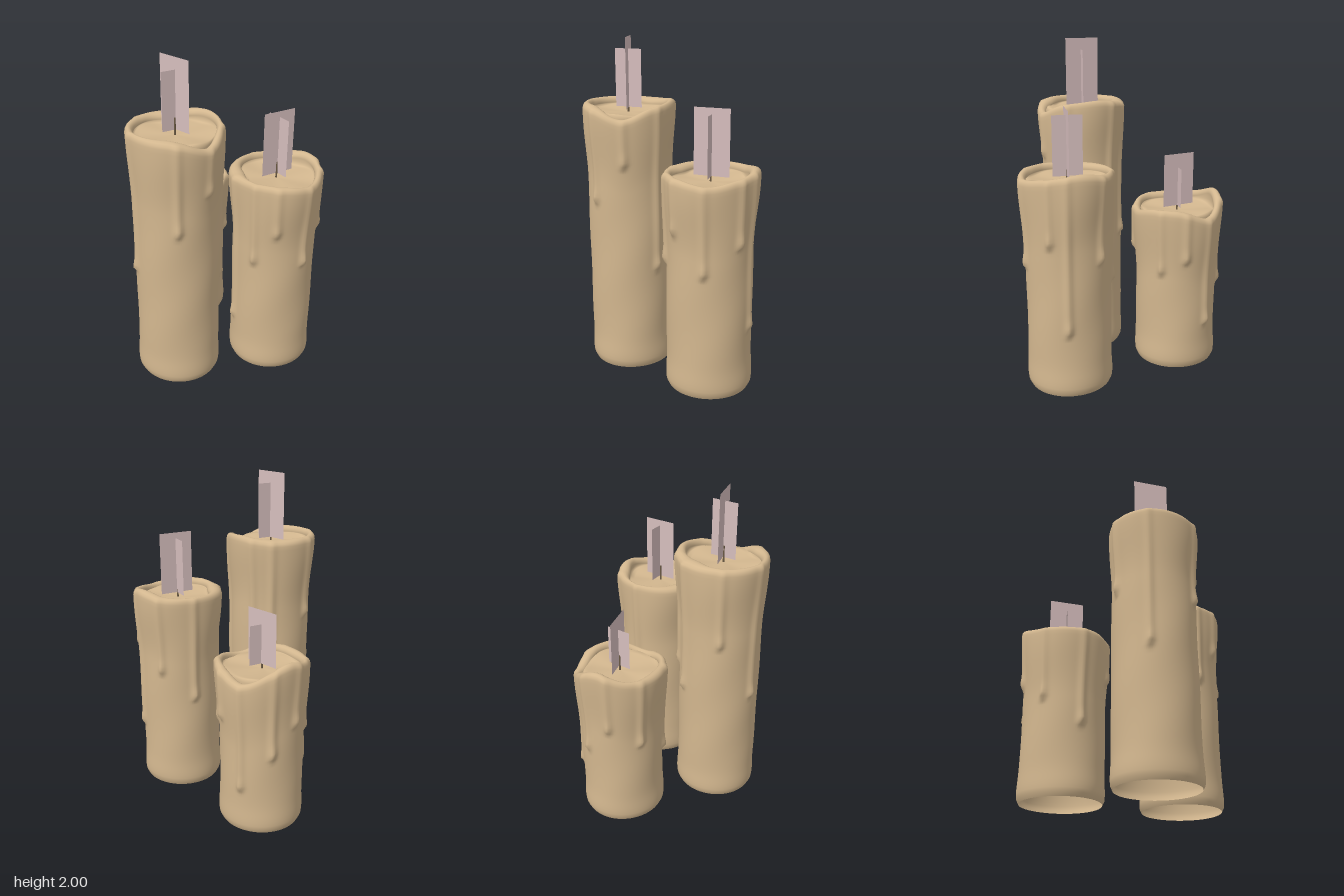
import * as THREE from 'three';

function material(name, color, side = THREE.FrontSide) {
  const m = new THREE.MeshStandardMaterial({ color, side });
  m.name = name;
  return m;
}
const wax = material('wax', 0xd3b78f, THREE.DoubleSide);
const flamePink = material('flame pink', 0xd6bebd, THREE.DoubleSide);
const wickBrown = material('wick brown', 0x6b5a44);

const SIDES = 128;
const BODY = 0.25;
const DRIP = 0.022;

// rimBumps and poolBumps: [degrees from +x towards +z, amount]
// drips: [degrees, y of the lower end]; cards: [width, top] of the crossed flame cards
const candles = [
  {
    name: 'tallCandle', x: -0.29, z: 0.19, rim: 1.622,
    rimBumps: [[75, -0.065], [345, 0.018]],
    poolBumps: [[120, -0.035], [285, -0.06]],
    drips: [[27, 0.62], [73, 1.26], [116, 1.03], [188, 0.72], [240, 1.1], [298, 0.75], [325, 0.87]],
    cards: [[0.165, 1.93], [0.21, 2]], slant: 0.06,
  },
  {
    name: 'frontCandle', x: 0.285, z: 0.365, rim: 1.293,
    rimBumps: [[350, 0.03], [75, -0.025]],
    poolBumps: [[195, -0.04], [335, -0.025]],
    drips: [[8, 0.37], [31, 0.89], [80, 0.73], [122, 0.95], [152, 0.75], [190, 0.28], [272, 0.6], [320, 0.78]],
    cards: [[0.21, 1.645], [0.175, 1.61]], slant: 0.008,
  },
  {
    name: 'backCandle', x: 0.075, z: -0.35, rim: 1.025,
    rimBumps: [[262, 0.055], [328, -0.065], [88, -0.04]],
    poolBumps: [[170, -0.015], [335, -0.02]],
    drips: [[2, 0.68], [36, 0.6], [105, 0.7], [152, 0.4], [205, 0.55], [250, 0.66], [285, 0.48], [328, 0.26]],
    cards: [[0.155, 1.235], [0.205, 1.32]], slant: 0.064,
  },
];

// Soft bell around a direction, in radians
function bell(angle, degrees, width) {
  const d = angle - THREE.MathUtils.degToRad(degrees);
  return Math.exp(-((Math.atan2(Math.sin(d), Math.cos(d)) / width) ** 2));
}

function bumps(list, angle) {
  return list.reduce((sum, [deg, amount]) => sum + amount * bell(angle, deg, 0.5), 0);
}

// Wax runs: narrow ridges hanging from the rim, each with a rounded bead at its end
function dripBulge(drips, angle, y) {
  return drips.reduce((sum, [deg, end]) => {
    const bead = 0.45 * Math.exp(-(((y - end - 0.045) / 0.045) ** 2));
    const along = THREE.MathUtils.smoothstep(y, end, end + 0.035) * (0.75 + bead);
    return sum + DRIP * along * bell(angle, deg, 0.085);
  }, 0);
}

// Radius and height of the outer wall at fraction t of its height
function wallPoint(c, a, t, edge) {
  const y = t * edge;
  const flare = THREE.MathUtils.smoothstep(y, edge - 0.4, edge);
  const rimRadius = 0.274 + 0.005 * Math.sin(3 * a + 9 * c.x);
  const foot = -0.012 * Math.exp(-y / 0.012) + 0.006 * Math.exp(-(((y - 0.06) / 0.08) ** 2));
  const wobble = 0.003 * Math.sin(a * 3 + y * 7) * Math.sin(y * 5 + c.x * 9);
  const drip = dripBulge(c.drips, a, y) * (1 - 0.35 * flare);
  return [BODY + (rimRadius - BODY) * flare + foot + wobble + drip, y];
}

// Vertical section through the candle at one angle: wall, rolled rim, lip and pool floor
function section(c, a, floor) {
  const edge = c.rim + bumps(c.rimBumps, a) - 0.035;
  const pool = 0.228 + 0.006 * Math.sin(4 * a + 5 * c.z) + bumps(c.poolBumps, a);
  const wallRows = Math.round(c.rim / 0.025);
  const points = [];
  for (let k = 0; k <= wallRows; k++) points.push(wallPoint(c, a, k / wallRows, edge));
  const outer = points[wallRows][0];
  for (let k = 1; k <= 7; k++) {
    const s = k / 7 * Math.PI;
    points.push([(outer + pool) / 2 + (outer - pool) / 2 * Math.cos(s), edge + 0.035 * Math.sin(s)]);
  }
  points.push([pool + 0.004, THREE.MathUtils.lerp(edge, floor + 0.015, 0.6)]);
  for (const f of [0.97, 0.85, 0.6, 0.3, 0]) {
    points.push([pool * f, floor + 0.015 * f * f * (1 + 0.4 * Math.sin(5 * a))]);
  }
  return points;
}

// Sections joined around the axis into one skin, open at the bottom
function waxGeometry(c, floor) {
  const pos = [], index = [];
  for (let i = 0; i < SIDES; i++) {
    const a = i / SIDES * 2 * Math.PI;
    const points = section(c, a, floor);
    const rows = points.length;
    const here = i * rows, next = ((i + 1) % SIDES) * rows;
    points.forEach(([r, y], j) => {
      pos.push(r * Math.cos(a), y, r * Math.sin(a));
      if (j === 0) return;
      index.push(here + j - 1, here + j, next + j - 1, next + j - 1, here + j, next + j);
    });
  }
  const g = new THREE.BufferGeometry();
  g.setAttribute('position', new THREE.Float32BufferAttribute(pos, 3));
  g.setIndex(index);
  g.computeVertexNormals();
  return g;
}

function add(group, name, geometry, mat, y = 0) {
  const mesh = new THREE.Mesh(geometry, mat);
  mesh.name = name;
  mesh.position.y = y;
  group.add(mesh);
  return mesh;
}

export function createModel() {
  const model = new THREE.Group();
  model.name = 'candles';
  for (const c of candles) {
    const floor = c.rim - 0.06;
    const group = new THREE.Group();
    group.name = c.name;
    group.position.set(c.x, 0, c.z);
    add(group, 'waxBody', waxGeometry(c, floor), wax);
    add(group, 'wick', new THREE.CylinderGeometry(0.004, 0.006, 0.11, 8), wickBrown, floor + 0.045);

    // Two crossed flame cards, the second one slightly turned
    const bottom = floor + 0.03;
    c.cards.forEach(([width, top], i) => {
      const span = i ? Math.hypot(width, c.slant) : width;
      const card = add(group, i ? 'flameCardDeep' : 'flameCardWide',
        new THREE.PlaneGeometry(span, top - bottom), flamePink, (top + bottom) / 2);
      card.rotation.y = i ? -Math.atan2(width, c.slant) : 0;
      card.position.x = 0.004;
      card.position.z = i ? -0.006 : 0;
    });
    model.add(group);
  }
  return model;
}
